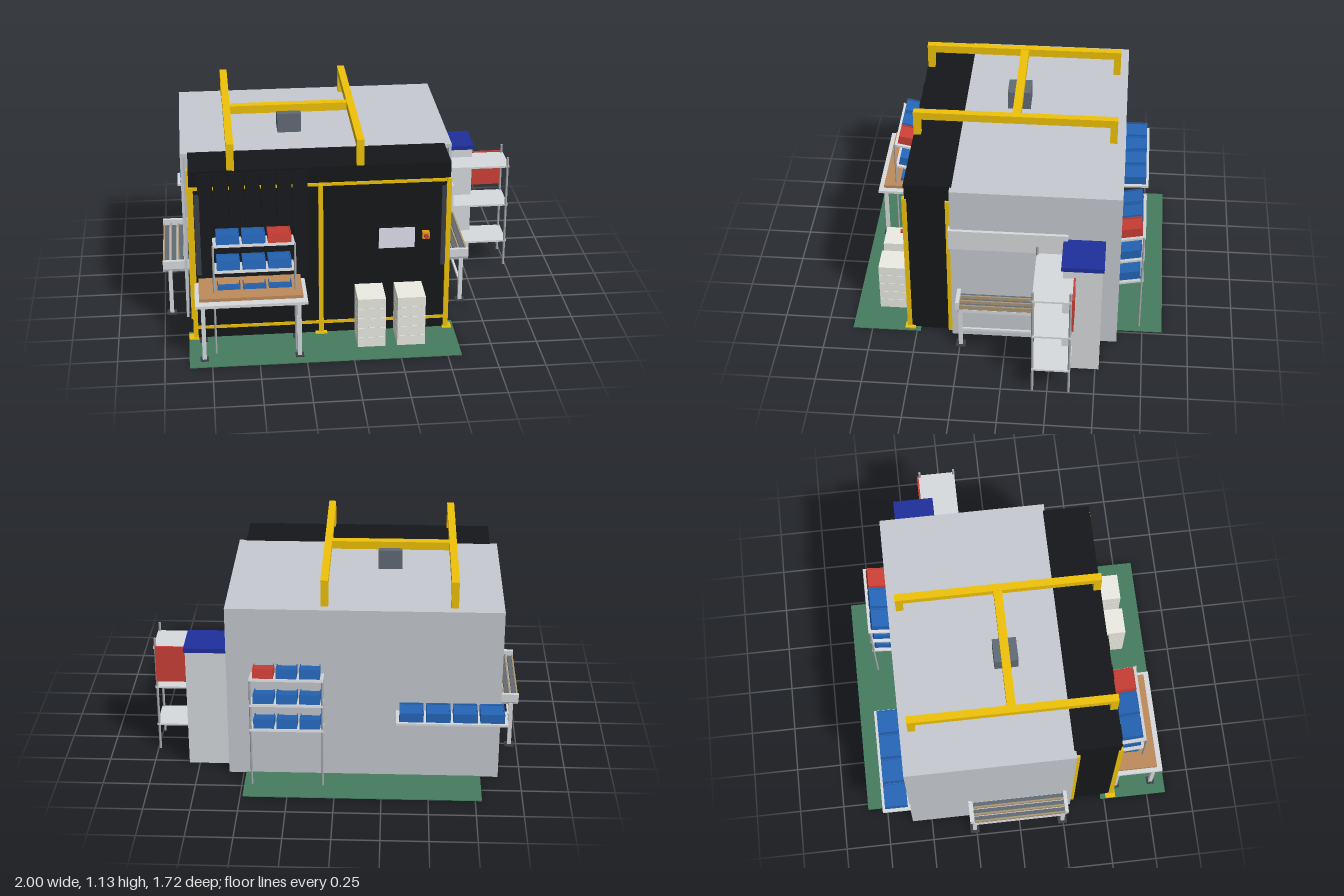
import * as THREE from 'three';

const mat = (color) => new THREE.MeshStandardMaterial({ color });

export function createModel() {
  const root = new THREE.Group();
  const M = {
    wall: mat(0xc6cad0), light: mat(0xd8dbde), black: mat(0x15171a), strip: mat(0x181a1e),
    yellow: mat(0xf0c20a), slate: mat(0x626b76), blue: mat(0x2566b8), navy: mat(0x1f2f9c),
    red: mat(0xcc4036), green: mat(0x457c5e), wood: mat(0xbd8b5b), cream: mat(0xecece4),
    metal: mat(0xa8abb0), dark: mat(0x3c4046), tan: mat(0xab9877), orange: mat(0xe39a1c),
    screen: mat(0xe2e2ee),
  };
  // Box from its min and max along each axis
  const box = (name, m, x0, x1, y0, y1, z0, z1, parent = root) => {
    const mesh = new THREE.Mesh(new THREE.BoxGeometry(x1 - x0, y1 - y0, z1 - z0), M[m]);
    mesh.position.set((x0 + x1) / 2, (y0 + y1) / 2, (z0 + z1) / 2);
    mesh.name = name;
    parent.add(mesh);
    return mesh;
  };
  const post = (name, x, z, y0, y1, r, parent = root) => {
    const mesh = new THREE.Mesh(new THREE.CylinderGeometry(r, r, y1 - y0, 12), M.metal);
    mesh.position.set(x, (y0 + y1) / 2, z);
    mesh.name = name;
    parent.add(mesh);
  };
  const group = (name, x = 0, y = 0, z = 0) => {
    const g = new THREE.Group();
    g.name = name;
    g.position.set(x, y, z);
    root.add(g);
    return g;
  };

  // Floor mats
  box('frontMat', 'green', -0.87, 0.575, 0, 0.004, 0.48, 0.858);
  box('backMat', 'green', -0.785, 0.487, 0, 0.004, -0.86, -0.48);

  // Grey enclosure: walls, roof and floor plate
  const shell = group('enclosure');
  box('roof', 'wall', -0.88, 0.58, 0.965, 0.987, -0.61, 0.3, shell);
  box('backWall', 'wall', -0.88, 0.58, 0, 0.965, -0.61, -0.595, shell);
  box('rightWall', 'wall', -0.88, -0.865, 0, 0.965, -0.595, 0.3, shell);
  box('leftWall', 'wall', 0.565, 0.58, 0, 0.965, -0.595, 0.3, shell);
  box('floorPlate', 'dark', -0.865, 0.565, 0.005, 0.015, -0.595, 0.1, shell);

  // Black front bay, open below, with a thin outward-facing front sheet
  const bay = group('frontBay');
  box('bayRoof', 'black', -0.84, 0.54, 0.97, 0.99, 0.29, 0.545, bay);
  const front = new THREE.Mesh(new THREE.PlaneGeometry(1.38, 0.97), M.black);
  front.position.set(-0.15, 0.485, 0.541);
  front.name = 'bayFront';
  bay.add(front);
  box('baySideRight', 'black', -0.84, -0.828, 0, 0.97, 0.29, 0.541, bay);
  box('baySideLeft', 'black', 0.528, 0.54, 0, 0.97, 0.29, 0.541, bay);
  for (let i = 0; i < 7; i++) {
    const x = -0.795 + i * 0.083;
    box('curtainStrip', 'strip', x, x + 0.077, 0.36, 0.975, 0.542, i % 2 ? 0.549 : 0.552, bay);
  }
  for (const x of [-0.802, 0.508]) box('lightCurtain', 'dark', x - 0.014, x + 0.014, 0.39, 0.855, 0.542, 0.554, bay);

  // Yellow safety frame
  const frame = group('safetyFrame');
  for (const y of [0.88, 0.058]) box('frameRail', 'yellow', -0.84, 0.54, y, y + 0.018, 0.535, 0.5455, frame);
  box('centrePost', 'yellow', -0.163, -0.138, 0, 0.89, 0.538, 0.556, frame);
  box('centreFoot', 'yellow', -0.183, -0.12, 0.004, 0.012, 0.535, 0.567, frame);
  for (const [x, s] of [[-0.84, -1], [0.54, 1]]) {
    const a = x - s * 0.022, b = x + s * 0.004, c = x + s * 0.014;
    box('cornerPost', 'yellow', Math.min(a, b), Math.max(a, b), 0, 0.9, 0.53, 0.556, frame);
    box('rearPost', 'yellow', Math.min(x, c), Math.max(x, c), 0, 0.9, 0.297, 0.325, frame);
    box('postFoot', 'yellow', x - 0.028, x + 0.022, 0.004, 0.012, 0.51, 0.567, frame);
  }

  // Roof gantry and roof unit
  const gantry = group('gantry');
  for (const x of [-0.62, 0.06]) {
    box('gantryBeam', 'yellow', x - 0.02, x + 0.02, 1.09, 1.135, -0.565, 0.545, gantry);
    for (const z of [-0.565, 0.505]) box('gantryLeg', 'yellow', x - 0.02, x + 0.02, 0.987, 1.09, z, z + 0.04, gantry);
  }
  box('gantryCrossBeam', 'yellow', -0.6, 0.04, 1.087, 1.132, -0.038, 0.008, gantry);
  box('roofUnit', 'slate', -0.345, -0.215, 0.987, 1.095, -0.075, 0.053);

  // Control screen and stop button
  box('screenBody', 'black', 0.15, 0.355, 0.51, 0.64, 0.555, 0.574);
  box('screenMount', 'black', 0.22, 0.285, 0.55, 0.6, 0.541, 0.555);
  box('screenFace', 'screen', 0.156, 0.349, 0.516, 0.634, 0.574, 0.577);
  box('buttonBox', 'orange', 0.392, 0.43, 0.558, 0.596, 0.541, 0.572);
  const knob = new THREE.Mesh(new THREE.CylinderGeometry(0.012, 0.012, 0.018, 16), M.red);
  knob.rotation.x = Math.PI / 2;
  knob.position.set(0.411, 0.577, 0.58);
  knob.name = 'stopButton';
  root.add(knob);

  // Drawer cabinets
  for (const x of [0.03, 0.243]) {
    const g = group('drawerCabinet', x);
    box('cabinetCore', 'metal', 0.003, 0.147, 0.005, 0.286, 0.553, 0.727, g);
    for (let i = 0; i < 5; i++) box('drawer', 'cream', 0, 0.15, 0.006 + i * 0.058, 0.062 + i * 0.058, 0.55, 0.73, g);
  }

  // Work table
  const table = group('workTable');
  box('tableFrame', 'light', -0.83, -0.24, 0.328, 0.344, 0.55, 0.818, table);
  box('tableTop', 'wood', -0.808, -0.263, 0.352, 0.37, 0.55, 0.787, table);
  box('tableTopSpacer', 'wood', -0.79, -0.28, 0.344, 0.352, 0.56, 0.77, table);
  for (const x of [-0.79, -0.285]) for (const z of [0.575, 0.78]) {
    box('tableLeg', 'light', x - 0.011, x + 0.011, 0, 0.328, z - 0.011, z + 0.011, table);
    box('tableFoot', 'dark', x - 0.022, x + 0.022, 0.004, 0.01, z - 0.022, z + 0.022, table);
  }

  // Shallow-rimmed bin, origin at its base centre
  const bin = (m, x, w, d, h, parent) => {
    const g = new THREE.Group();
    g.name = 'bin';
    g.position.set(x, 0.008, 0);
    box('binBody', m, -w / 2, w / 2, 0, h - 0.008, -d / 2, d / 2, g);
    const t = 0.005;
    for (const s of [-1, 1]) {
      const mx = s * (w / 2 - t / 2), mz = s * (d / 2 - t / 2);
      box('binSide', m, mx - t / 2, mx + t / 2, h - 0.008, h, -d / 2, d / 2, g);
      box('binEnd', m, -w / 2 + t, w / 2 - t, h - 0.008, h, mz - t / 2, mz + t / 2, g);
    }
    parent.add(g);
  };
  // Tilted shelf with a row of bins
  const binShelf = (cx, y, z, width, depth, tilt, bins) => {
    const g = group('binShelf', cx, y, z);
    g.rotation.x = tilt;
    box('shelfPlate', 'light', -width / 2, width / 2, -0.004, 0.008, -depth / 2, depth / 2, g);
    const step = (width - 0.022) / bins.length;
    bins.forEach((m, i) => bin(m, (i + 0.5 - bins.length / 2) * step, step - 0.014, depth - 0.03, 0.052, g));
  };
  const B = 'blue', R = 'red';
  [0.318, 0.467, 0.617].forEach((y, i) => {
    binShelf(-0.513, y, 0.635, 0.428, 0.17, -0.2, [B, B, i === 2 ? R : B]);
    binShelf(0.255, y + 0.004, -0.67, 0.39, 0.145, 0.2, [B, B, i === 2 ? R : B]);
  });
  binShelf(-0.617, 0.397, -0.682, 0.59, 0.155, 0.03, [B, B, B, B]);
  for (const x of [-0.727, -0.3]) post('frontRackPost', x, 0.717, 0, 0.64, 0.006);
  for (const x of [0.065, 0.445]) post('backRackPost', x, -0.732, 0, 0.64, 0.006);

  // Side conveyors, mirrored about the enclosure centre
  for (const s of [-1, 1]) {
    const g = group('conveyor', -0.15);
    const sx = (name, m, a, b, ...rest) => box(name, m, Math.min(s * a, s * b), Math.max(s * a, s * b), ...rest, g);
    for (const z of [-0.285, 0.247]) sx('endPlate', 'light', 0.7, 0.85, 0.285, 0.332, z, z + 0.02);
    for (const z of [-0.26, 0.245]) {
      sx('conveyorBrace', 'metal', 0.7, 0.85, 0.265, 0.28, z - 0.01, z + 0.01);
      sx('conveyorLeg', 'light', 0.8, 0.822, 0, 0.27, z - 0.011, z + 0.011);
      sx('conveyorFoot', 'dark', 0.785, 0.837, 0, 0.008, z - 0.026, z + 0.026);
    }
    sx('lowerBar', 'light', 0.805, 0.817, 0.105, 0.12, -0.25, 0.235);
    sx('conveyorTray', 'light', 0.73, 0.85, 0.265, 0.285, -0.265, 0.25);
    for (let i = 0; i < 3; i++) {
      const x = 0.735 + i * 0.04;
      sx('track', 'slate', x, x + 0.024, 0.285, 0.3, -0.26, 0.25);
      sx('trackRail', 'tan', x + 0.024, x + 0.033, 0.285, 0.312, -0.26, 0.25);
    }
  }

  // Side hood and tall cabinet with a blue lid
  box('sideHood', 'light', 0.545, 0.597, 0.62, 0.742, -0.33, 0.31);
  box('sideCabinet', 'light', 0.58, 0.808, 0, 0.685, -0.52, -0.315);
  box('cabinetLid', 'navy', 0.58, 0.815, 0.685, 0.71, -0.53, -0.305);

  // Side rack with a red panel
  const rack = group('sideRack');
  for (const y of [0.148, 0.382, 0.624]) box('rackShelf', 'light', 0.615, 1, y, y + 0.011, -0.372, -0.165, rack);
  for (const x of [0.623, 0.99]) for (const z of [-0.365, -0.17]) post('rackPost', x, z, 0, 0.685, 0.007, rack);
  box('rackPanel', 'red', 0.81, 0.99, 0.43, 0.642, -0.382, -0.372, rack);

  return root;
}
